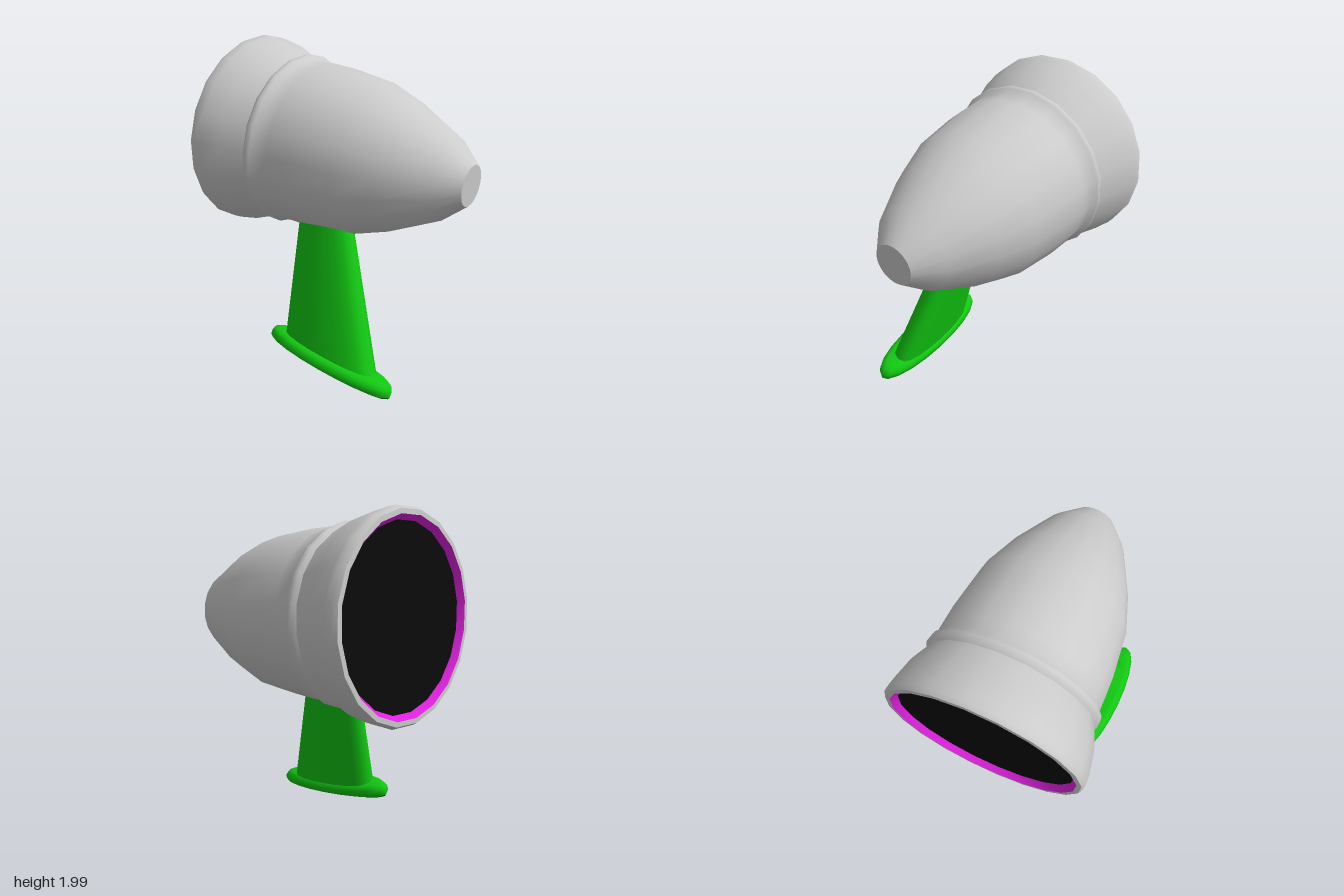
import * as THREE from 'three';
import { toCreasedNormals } from 'three/addons/utils/BufferGeometryUtils.js';

const SIDES = 20;
const material = (color) => new THREE.MeshStandardMaterial({ color });
const grey = material(0xcccccc);
const green = material(0x12c812);
const magenta = material(0xe020e0);
const black = material(0x0a0a0a);

function addMesh(parent, name, geometry, mat) {
  const mesh = new THREE.Mesh(geometry, mat);
  mesh.name = name;
  parent.add(mesh);
}

// Turned part from [radius, distance along axis] pairs, back to front
function turned(points) {
  const profile = points.map(([r, t]) => new THREE.Vector2(r, t));
  return toCreasedNormals(new THREE.LatheGeometry(profile, SIDES), 0.75);
}

// Tilted frame shared by the handle and its foot
const across = new THREE.Vector3(1, -0.21, 0);
const along = new THREE.Vector3(0.07, -0.12, 1);

// Skin through sections: centre [x, y, z], half width a, half length b
function loft(sections, squareness, capBottom, crease = 0.9) {
  const pos = [], index = [];
  for (const { c, a, b } of sections) {
    for (let i = 0; i < SIDES; i++) {
      const th = (i / SIDES) * Math.PI * 2;
      const cos = Math.cos(th);
      const p = new THREE.Vector3(...c)
        .addScaledVector(across, a * Math.sign(cos) * Math.abs(cos) ** squareness)
        .addScaledVector(along, b * Math.sin(th));
      pos.push(p.x, p.y, p.z);
    }
  }
  for (let j = 0; j < sections.length - 1; j++) {
    for (let i = 0; i < SIDES; i++) {
      const k = (i + 1) % SIDES, lo = j * SIDES, hi = lo + SIDES;
      index.push(lo + i, hi + i, lo + k, lo + k, hi + i, hi + k);
    }
  }
  if (capBottom) for (let i = 1; i < SIDES - 1; i++) index.push(0, i, i + 1);
  const g = new THREE.BufferGeometry();
  g.setAttribute('position', new THREE.Float32BufferAttribute(pos, 3));
  g.setIndex(index);
  return toCreasedNormals(g, crease);
}

export function createModel() {
  const model = new THREE.Group();

  // Bullet-shaped head, tilted along its own axis
  const head = new THREE.Group();
  head.name = 'head';
  head.position.set(0.073, 1.35, 0);
  const axis = new THREE.Vector3(0.1, -0.046, 1).normalize();
  head.quaternion.setFromUnitVectors(new THREE.Vector3(0, 1, 0), axis);
  model.add(head);

  addMesh(head, 'shell', turned([
    [0.57, -0.782], [0.6, -0.78], [0.617, -0.75], [0.612, -0.7], [0.585, -0.57], [0.525, -0.425],
    [0.543, -0.405], [0.549, -0.385], [0.543, -0.365], [0.522, -0.34],
    [0.52, -0.25], [0.514, -0.12], [0.478, 0.17], [0.396, 0.4], [0.255, 0.68],
    [0.125, 0.83], [0, 0.83],
  ]), grey);
  addMesh(head, 'innerRim', turned([[0.54, -0.745], [0.57, -0.782]]), magenta);
  addMesh(head, 'openingDisc', turned([[0, -0.745], [0.54, -0.745]]), black);

  // Foot: flat oval pad with rounded edge and dark sole
  const footLevel = (h, a, b) => ({ c: [-0.345 + 0.21 * h, 0.065 + h, 0.175], a, b });
  const foot = new THREE.Group();
  foot.name = 'foot';
  model.add(foot);
  addMesh(foot, 'sole', loft([footLevel(0, 0.09, 0.45), footLevel(0.01, 0.108, 0.46)], 1, true), black);
  addMesh(foot, 'pad', loft([
    footLevel(0.01, 0.108, 0.46), footLevel(0.03, 0.13, 0.465), footLevel(0.058, 0.13, 0.46),
    footLevel(0.08, 0.115, 0.44), footLevel(0.09, 0.09, 0.41), footLevel(0.09, 0.01, 0.05),
  ], 0.9, false, 1.2), green);

  // Handle: flat-sided post narrowing up into the head
  addMesh(model, 'handle', loft([
    { c: [-0.322, 0.13, 0.17], a: 0.1, b: 0.34 },
    { c: [-0.1, 1.1, -0.048], a: 0.08, b: 0.16 },
  ], 0.65, false), green);

  return model;
}
